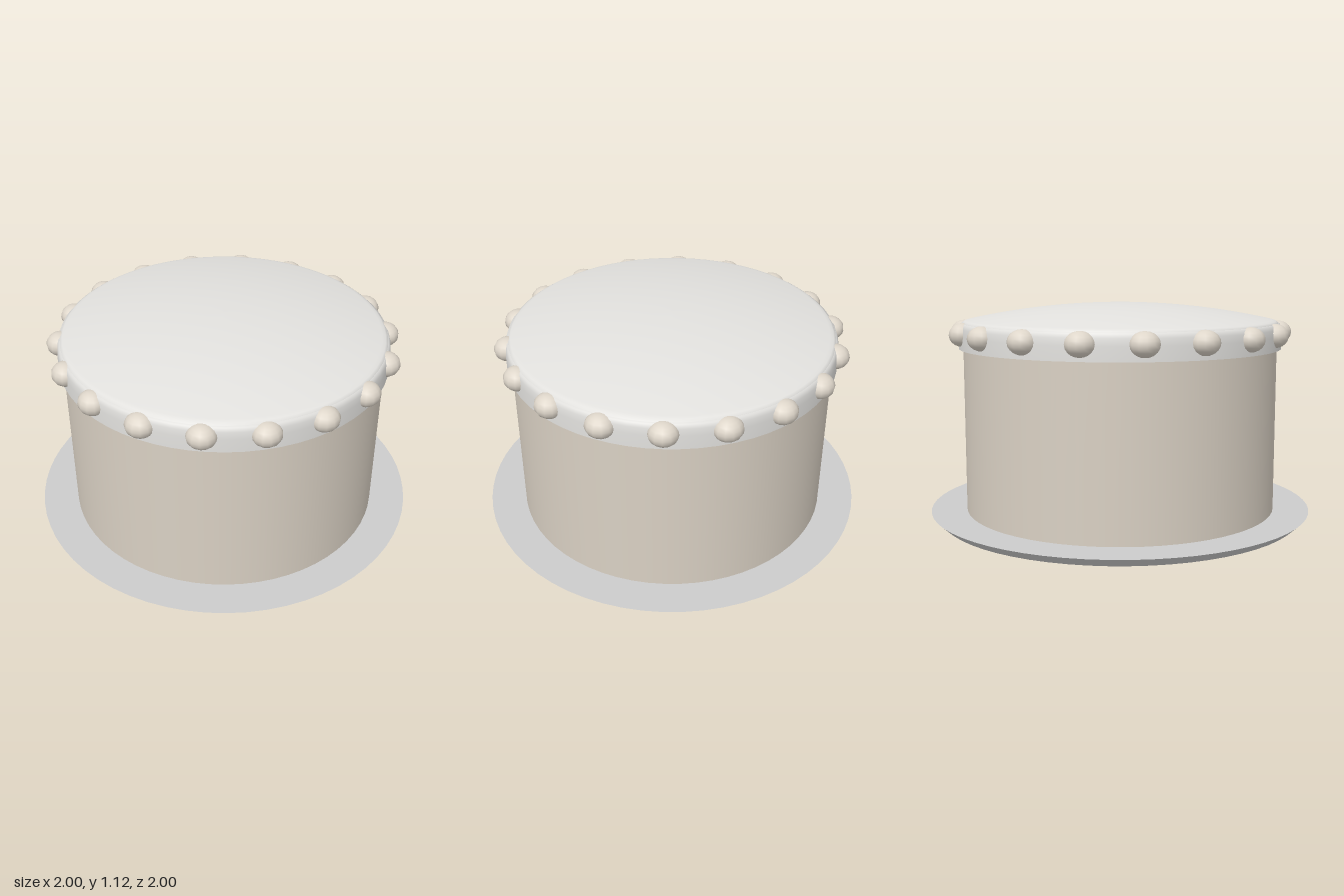
import * as THREE from 'three';

const SEG = 64;
const mat = (color) => new THREE.MeshStandardMaterial({ color });
const points = (list) => list.map(([r, y]) => new THREE.Vector2(r, y));

export function createModel() {
  const cake = new THREE.Group();
  cake.name = 'cake';
  const add = (name, geometry, material, y = 0) => {
    const mesh = new THREE.Mesh(geometry, material);
    mesh.name = name;
    mesh.position.y = y;
    cake.add(mesh);
    return mesh;
  };
  const plateMat = mat(0xcccccc);
  const spongeMat = mat(0xd9d0c3);
  const icingMat = mat(0xe2e1de);
  const beadMat = mat(0xded6ca);

  // Thin plate with a bevelled underside
  add('plate', new THREE.CylinderGeometry(1, 0.95, 0.045, SEG), plateMat, 0.0225);

  // Cake body
  add('cakeBody', new THREE.CylinderGeometry(0.815, 0.815, 0.925, SEG), spongeMat, 0.5075);

  // Icing band around the upper edge, rounded in at the top
  const band = points([[0.81, 0.89], [0.838, 0.89], [0.838, 0.89], [0.838, 0.96],
    [0.835, 0.995], [0.828, 1.015], [0.815, 1.023], [0.78, 1.025]]);
  add('icingBand', new THREE.LatheGeometry(band, SEG), icingMat);

  // Shallow domed icing top
  const dome = [[0.822, 1.01], [0.82, 1.022], [0.808, 1.03]];
  for (let i = 9; i >= 0; i--) {
    const r = 0.79 * i / 9;
    dome.push([r, 1.12 - 0.085 * (r / 0.79) ** 2]);
  }
  add('icingTop', new THREE.LatheGeometry(points(dome), SEG), icingMat);

  // Ring of piped beads
  const bead = new THREE.SphereGeometry(0.073, 12, 10);
  bead.scale(0.95, 0.82, 1);
  const count = 18;
  for (let i = 0; i < count; i++) {
    const a = (i / count) * Math.PI * 2;
    const mesh = add('bead' + (i + 1), bead, beadMat, 0.967);
    mesh.position.x = Math.cos(a) * 0.825;
    mesh.position.z = Math.sin(a) * 0.825;
    mesh.rotation.y = -a;
  }
  return cake;
}
